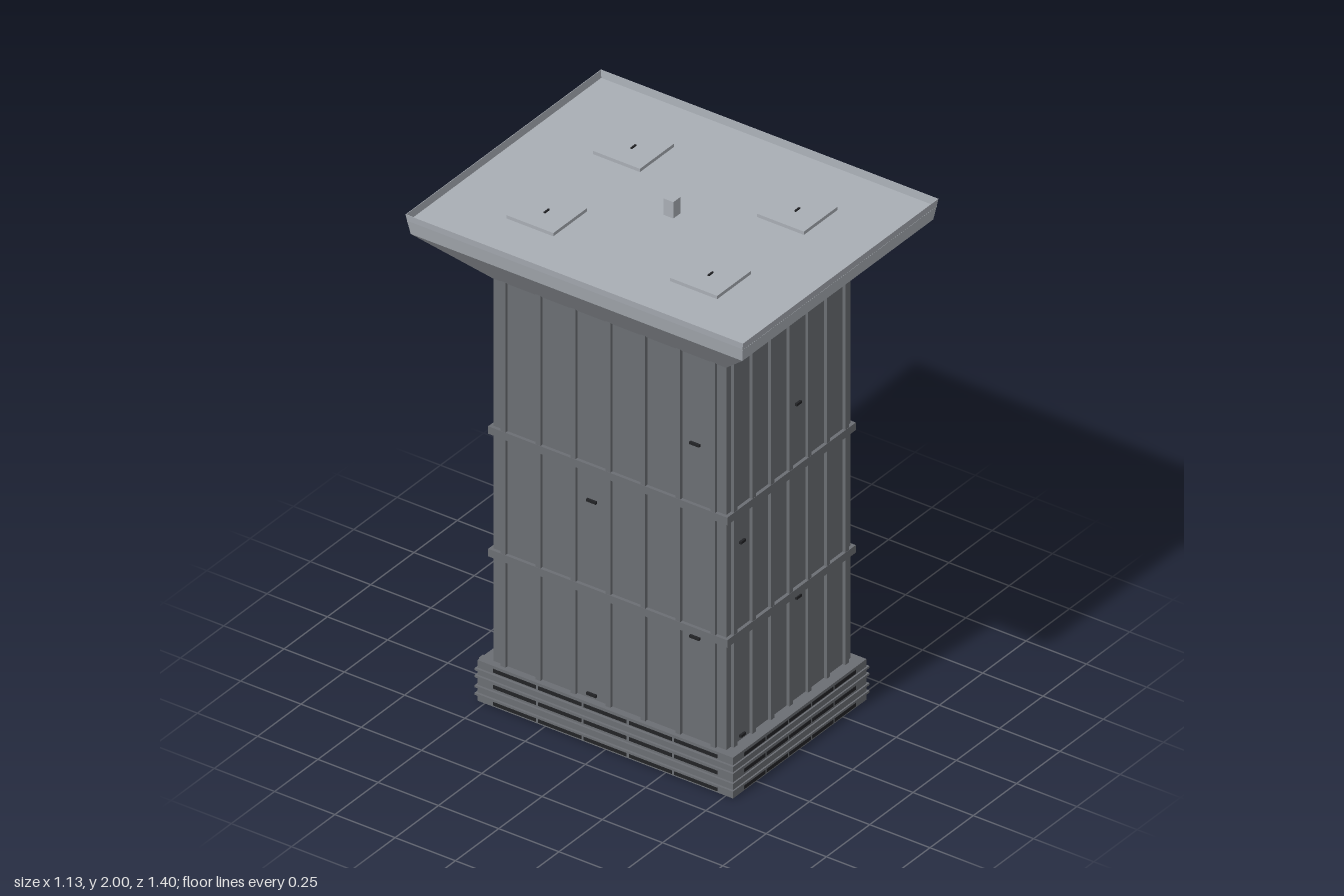
import * as THREE from 'three';

const mat = (name, color) => {
  const m = new THREE.MeshStandardMaterial({ color });
  m.name = name;
  return m;
};

// Stack of rectangular rings [halfX, y, halfZ], joined with flat walls
function ringShell(rings, capLast) {
  const pos = [];
  const corners = ([hx, y, hz]) => [[-hx, y, hz], [hx, y, hz], [hx, y, -hz], [-hx, y, -hz]];
  const quad = (a, b, c, d) => pos.push(...a, ...b, ...c, ...a, ...c, ...d);
  for (let i = 0; i < rings.length - 1; i++) {
    const lo = corners(rings[i]), hi = corners(rings[i + 1]);
    for (let k = 0; k < 4; k++) {
      const n = (k + 1) % 4;
      quad(lo[k], lo[n], hi[n], hi[k]);
    }
  }
  if (capLast) quad(...corners(rings[rings.length - 1]));
  const g = new THREE.BufferGeometry();
  g.setAttribute('position', new THREE.Float32BufferAttribute(pos, 3));
  g.computeVertexNormals();
  return g;
}

export function createModel() {
  const root = new THREE.Group();
  root.name = 'tower';
  const wall = mat('wallGrey', 0x6b6e73);
  const light = mat('roofGrey', 0xa9aeb5);
  const dark = mat('slotDark', 0x222326);

  const group = (name) => {
    const g = new THREE.Group();
    g.name = name;
    root.add(g);
    return g;
  };
  const box = (parent, name, m, w, h, d, x, y, z) => {
    const b = new THREE.Mesh(new THREE.BoxGeometry(w, h, d), m);
    b.name = name;
    b.position.set(x, y, z);
    parent.add(b);
    return b;
  };

  const BX = 0.358, BZ = 0.483; // shaft half sizes
  const OX = 0.37, OZ = 0.495;  // half sizes over the ribs

  // Shaft
  const shaft = group('shaft');
  box(shaft, 'shaftCore', wall, BX * 2, 1.56, BZ * 2, 0, 0.92, 0);

  // Vertical ribs on all four faces
  for (let i = -3; i <= 3; i++) {
    for (const s of [-1, 1]) {
      box(shaft, 'rib', wall, 0.02, 1.56, 0.024, i * 0.1073, 0.92, s * (OZ - 0.012));
      box(shaft, 'rib', wall, 0.024, 1.56, 0.02, s * (OX - 0.012), 0.92, i * 0.145);
    }
  }

  // Horizontal bands
  for (const y of [0.595, 1.083]) {
    box(shaft, 'band', wall, OX * 2 + 0.002, 0.03, OZ * 2 + 0.002, 0, y, 0);
  }

  // Small slit windows, staggered around the shaft
  const slits = group('slitWindows');
  [1.335, 0.95, 0.565, 0.18].forEach((y, i) => {
    const odd = i % 2 === 1;
    box(slits, 'slit', dark, 0.028, 0.01, 0.009, odd ? -0.27 : 0.052, y, BZ + 0.004);
    box(slits, 'slit', dark, 0.028, 0.01, 0.009, odd ? -0.052 : 0.27, y, -BZ - 0.004);
    box(slits, 'slit', dark, 0.009, 0.01, 0.04, BX + 0.004, y, odd ? -0.355 : 0.073);
    box(slits, 'slit', dark, 0.009, 0.01, 0.04, -BX - 0.004, y, odd ? -0.073 : 0.355);
  });

  // Base block with ledges
  const base = group('base');
  const PX = 0.385, PZ = 0.53;
  box(base, 'baseBlock', wall, PX * 2, 0.162, PZ * 2, 0, 0.081, 0);
  for (const y of [0.03, 0.06, 0.1, 0.128]) {
    box(base, 'ledge', wall, PX * 2 + 0.018, 0.008, PZ * 2 + 0.012, 0, y, 0);
  }

  // Rows of dark vents, five to a side
  for (const y of [0.013, 0.08, 0.144]) {
    for (let i = -2; i <= 2; i++) {
      for (const s of [-1, 1]) {
        box(base, 'vent', dark, 0.122, 0.014, 0.004, i * 0.131, y, s * PZ);
        box(base, 'vent', dark, 0.004, 0.014, 0.178, s * PX, y, i * 0.188);
      }
    }
  }

  // Pillars and entrance porch at the back
  for (const x of [0.17, 0.25, 0.35]) {
    for (const s of [-1, 1]) {
      box(base, 'pillar', wall, 0.022, 0.155, 0.022, s * x, 0.0785, -PZ);
    }
  }
  box(base, 'porch', wall, 0.3, 0.056, 0.09, 0, 0.028, -0.565);

  // Flared top with a shallow recessed deck
  const roof = group('roof');
  const flare = new THREE.Mesh(ringShell([
    [0.36, 1.685, 0.483], [0.551, 1.885, 0.688], [0.561, 1.94, 0.696],
    [0.564, 1.965, 0.7], [0.562, 1.965, 0.698], [0.56, 1.935, 0.696],
  ], true), light);
  flare.name = 'flaredTop';
  roof.add(flare);

  // Roof pads with centre markers
  for (const x of [-0.25, 0.25]) {
    for (const z of [-0.34, 0.34]) {
      box(roof, 'pad', light, 0.195, 0.014, 0.195, x, 1.941, z);
      box(roof, 'padMarker', dark, 0.026, 0.006, 0.006, x, 1.95, z);
    }
  }
  box(roof, 'mast', light, 0.04, 0.07, 0.04, 0, 1.965, 0);

  return root;
}
